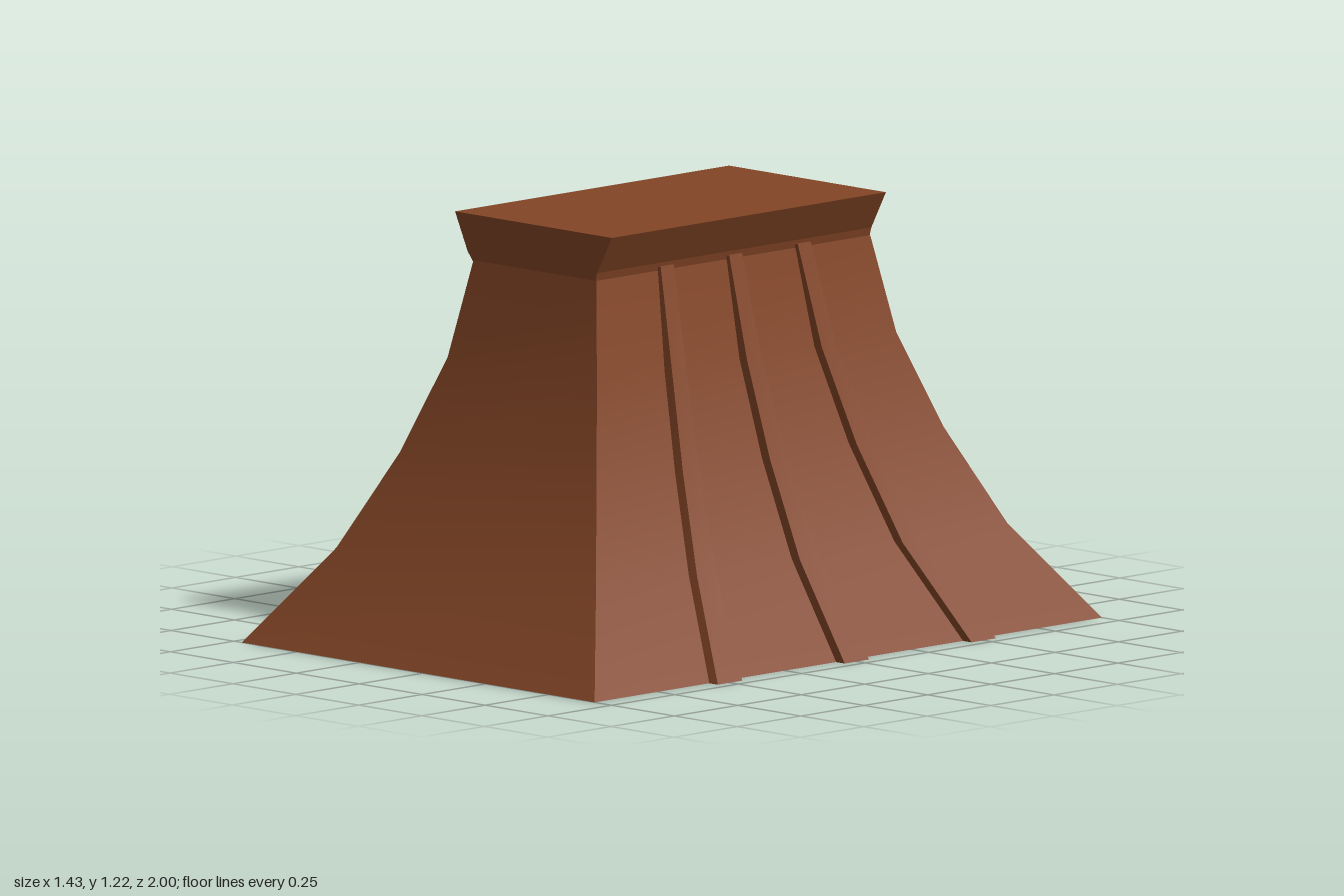
import * as THREE from 'three';
import { toCreasedNormals } from 'three/addons/utils/BufferGeometryUtils.js';

// Closed loft through rectangular rings given as [y, x0, x1, z0, z1]
function loft(rings) {
  const pos = [], idx = [];
  for (const [y, x0, x1, z0, z1] of rings) {
    pos.push(x0, y, z1, x1, y, z1, x1, y, z0, x0, y, z0);
  }
  for (let r = 0; r < rings.length - 1; r++) {
    for (let i = 0; i < 4; i++) {
      const a = r * 4 + i, b = r * 4 + (i + 1) % 4;
      idx.push(a, b, b + 4, a, b + 4, a + 4);
    }
  }
  const t = (rings.length - 1) * 4;
  idx.push(0, 2, 1, 0, 3, 2, t, t + 1, t + 2, t, t + 2, t + 3);
  const g = new THREE.BufferGeometry();
  g.setAttribute('position', new THREE.Float32BufferAttribute(pos, 3));
  g.setIndex(idx);
  return toCreasedNormals(g, Math.PI / 6);
}

export function createModel() {
  const model = new THREE.Group();
  const brown = new THREE.MeshStandardMaterial({ color: 0x834526 });
  brown.name = 'russet brown';
  const add = (name, geometry) => {
    const mesh = new THREE.Mesh(geometry, brown);
    mesh.name = name;
    model.add(mesh);
  };

  // Flared outline: y, left x, right x, half depth
  const flare = [
    [0, -0.718, 0.683, 1.0],
    [0.27, -0.533, 0.497, 0.81],
    [0.54, -0.408, 0.373, 0.685],
    [0.81, -0.314, 0.279, 0.59],
    [1.085, -0.262, 0.226, 0.54],
  ];

  // Body with a shallow recess in its underside
  add('flaredBody', loft([
    [0.105, -0.48, 0.53, -0.82, 0.82],
    [0, -0.56, 0.61, -0.9, 0.9],
    ...flare.map(([y, x0, x1, d]) => [y, x0, x1, -d, d]),
  ]));

  // Cap with outward sloping sides and flat ends
  const profile = new THREE.Shape([
    [-0.262, 1.08], [0.222, 1.08], [0.23, 1.108], [0.288, 1.215],
    [-0.335, 1.215], [-0.285, 1.108],
  ].map(([x, y]) => new THREE.Vector2(x, y)));
  const cap = new THREE.ExtrudeGeometry(profile, { depth: 1.08, bevelEnabled: false });
  cap.translate(0, 0, -0.54);
  add('topCap', cap);

  // Three tapering ribs that follow the curve of the right-hand face
  const stand = [0.034, 0.033, 0.032, 0.03, 0.01];
  for (const [name, k] of [['frontRib', 0.5], ['middleRib', 0], ['backRib', -0.5]]) {
    add(name, loft(flare.map(([y, , x1, d], i) => [
      i === 4 ? 1.097 : y, x1 - 0.03, x1 + stand[i],
      k * d - 0.048 * d, k * d + 0.048 * d,
    ])));
  }
  return model;
}
